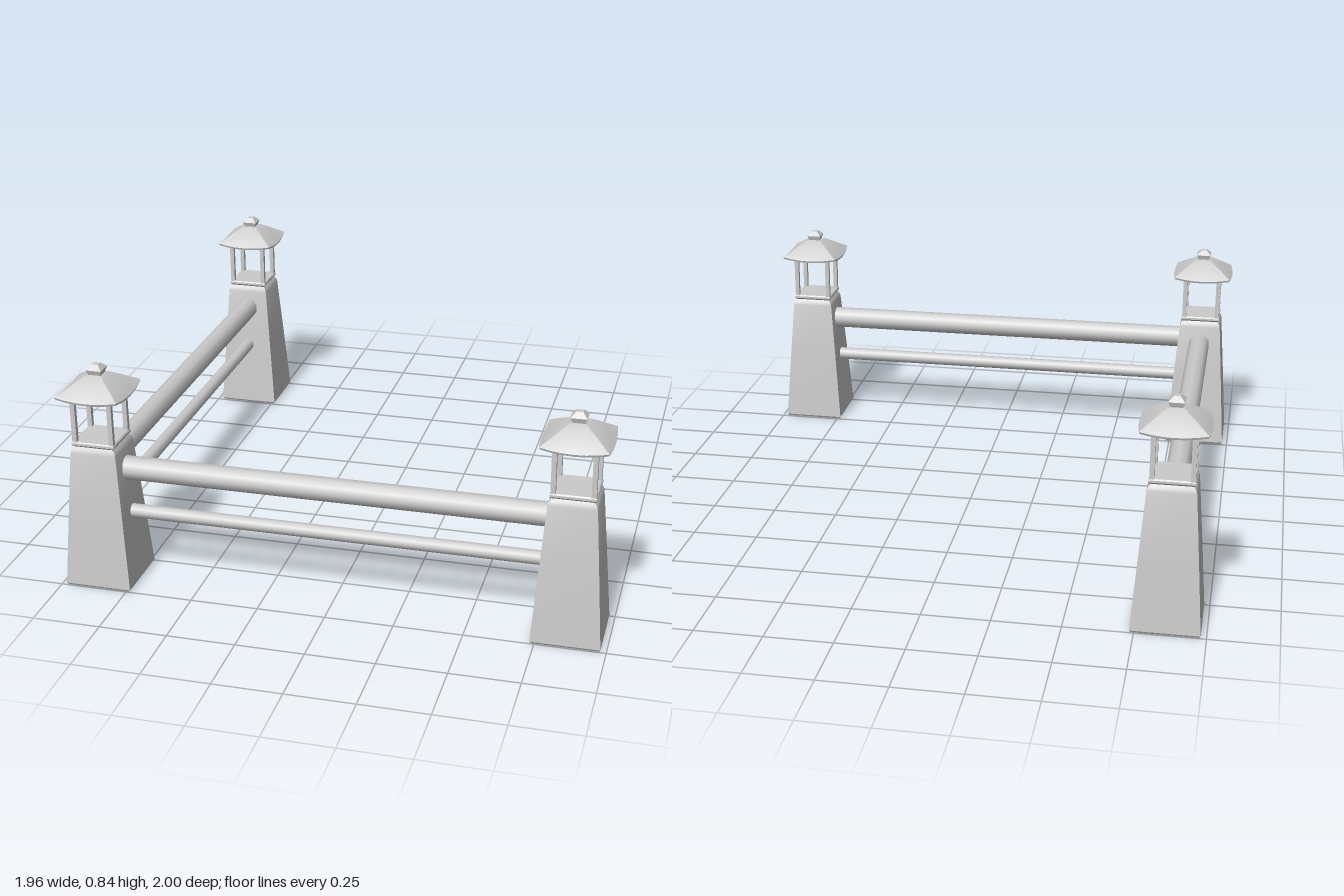
import * as THREE from 'three';
import { toCreasedNormals } from 'three/addons/utils/BufferGeometryUtils.js';

const material = new THREE.MeshStandardMaterial({ color: 0xcccccc });

function mesh(name, geometry, x = 0, y = 0, z = 0) {
  const m = new THREE.Mesh(geometry, material);
  m.name = name;
  m.position.set(x, y, z);
  return m;
}

// Square cross-sections stacked upwards: [half width, y, side bow, corner lift]
function squareLoft(rings, n = 1, crease = 0.6) {
  const corners = [[-1, 1], [1, 1], [1, -1], [-1, -1]];
  const pos = [], idx = [], count = 4 * n;
  for (const [half, y, bow = 0, lift = 0] of rings) {
    for (let s = 0; s < 4; s++) {
      const [ax, az] = corners[s], [bx, bz] = corners[(s + 1) % 4];
      for (let i = 0; i < n; i++) {
        const t = i / n, mid = 4 * t * (1 - t);
        const out = bow * mid;
        pos.push(
          half * (ax + (bx - ax) * t) + out * (ax + bx) / 2,
          y + lift * (1 - mid),
          half * (az + (bz - az) * t) + out * (az + bz) / 2
        );
      }
    }
  }
  for (let j = 0; j < rings.length - 1; j++) {
    for (let i = 0; i < count; i++) {
      const k = (i + 1) % count;
      const a = j * count + i, b = j * count + k;
      idx.push(a, b, b + count, a, b + count, a + count);
    }
  }
  // End caps
  const last = rings.length - 1, bottom = pos.length / 3, top = bottom + 1;
  pos.push(0, rings[0][1], 0, 0, rings[last][1], 0);
  for (let i = 0; i < count; i++) {
    const k = (i + 1) % count;
    idx.push(bottom, k, i, top, last * count + i, last * count + k);
  }
  const g = new THREE.BufferGeometry();
  g.setAttribute('position', new THREE.Float32BufferAttribute(pos, 3));
  g.setIndex(idx);
  return toCreasedNormals(g, crease);
}

const pillarGeo = squareLoft([
  [0.118, 0], [0.123, 0.008], [0.104, 0.27], [0.085, 0.52], [0.081, 0.533], [0.07, 0.548]
]);
const ledgeGeo = squareLoft([[0.07, 0.54], [0.08, 0.55], [0.08, 0.558], [0.076, 0.563]]);
const roofGeo = squareLoft([
  [0.06, 0.742], [0.113, 0.727, 0.008, 0.01], [0.116, 0.735, 0.008, 0.01],
  [0.095, 0.756, 0.006, 0.003], [0.066, 0.779, 0.004], [0.035, 0.799], [0.015, 0.806]
], 6);
const finialGeo = squareLoft([[0.02, 0.795], [0.023, 0.805], [0.029, 0.822], [0.012, 0.84]]);
const stickGeo = new THREE.BoxGeometry(0.017, 0.185, 0.017);
const railGeo = new THREE.BoxGeometry(0.154, 0.016, 0.017);

// Tapered pillar carrying an open lantern
function lanternPost(name, x, z) {
  const g = new THREE.Group();
  g.name = name;
  g.position.set(x, 0, z);
  g.add(mesh('pillar', pillarGeo), mesh('lanternLedge', ledgeGeo));
  for (const sx of [-1, 1]) {
    for (const sz of [-1, 1]) g.add(mesh('lanternStick', stickGeo, sx * 0.069, 0.648, sz * 0.069));
  }
  for (let i = 0; i < 4; i++) {
    const a = i * Math.PI / 2;
    const rail = mesh('lanternTopRail', railGeo, Math.sin(a) * 0.069, 0.732, Math.cos(a) * 0.069);
    rail.rotation.y = a;
    g.add(rail);
  }
  g.add(mesh('lanternRoof', roofGeo), mesh('roofFinial', finialGeo));
  return g;
}

// Upper and lower round rails between two posts
function railPair(name, from, to) {
  const g = new THREE.Group();
  g.name = name;
  const dx = to[0] - from[0], dz = to[1] - from[1];
  const length = Math.hypot(dx, dz) - 0.15;
  for (const [label, y, r] of [['upperRail', 0.445, 0.044], ['lowerRail', 0.273, 0.026]]) {
    const geo = new THREE.CylinderGeometry(r, r, length, 10);
    const rail = mesh(label, geo, (from[0] + to[0]) / 2, y, (from[1] + to[1]) / 2);
    rail.quaternion.setFromUnitVectors(
      new THREE.Vector3(0, 1, 0), new THREE.Vector3(dx, 0, dz).normalize()
    );
    g.add(rail);
  }
  return g;
}

export function createModel() {
  const model = new THREE.Group();
  model.name = 'cornerFence';
  const corner = [-0.857, 0.877], left = [0.857, 0.877], back = [-0.857, -0.877];
  model.add(
    lanternPost('cornerPost', ...corner),
    lanternPost('leftPost', ...left),
    lanternPost('backPost', ...back),
    railPair('frontRails', corner, left),
    railPair('sideRails', corner, back)
  );
  return model;
}
